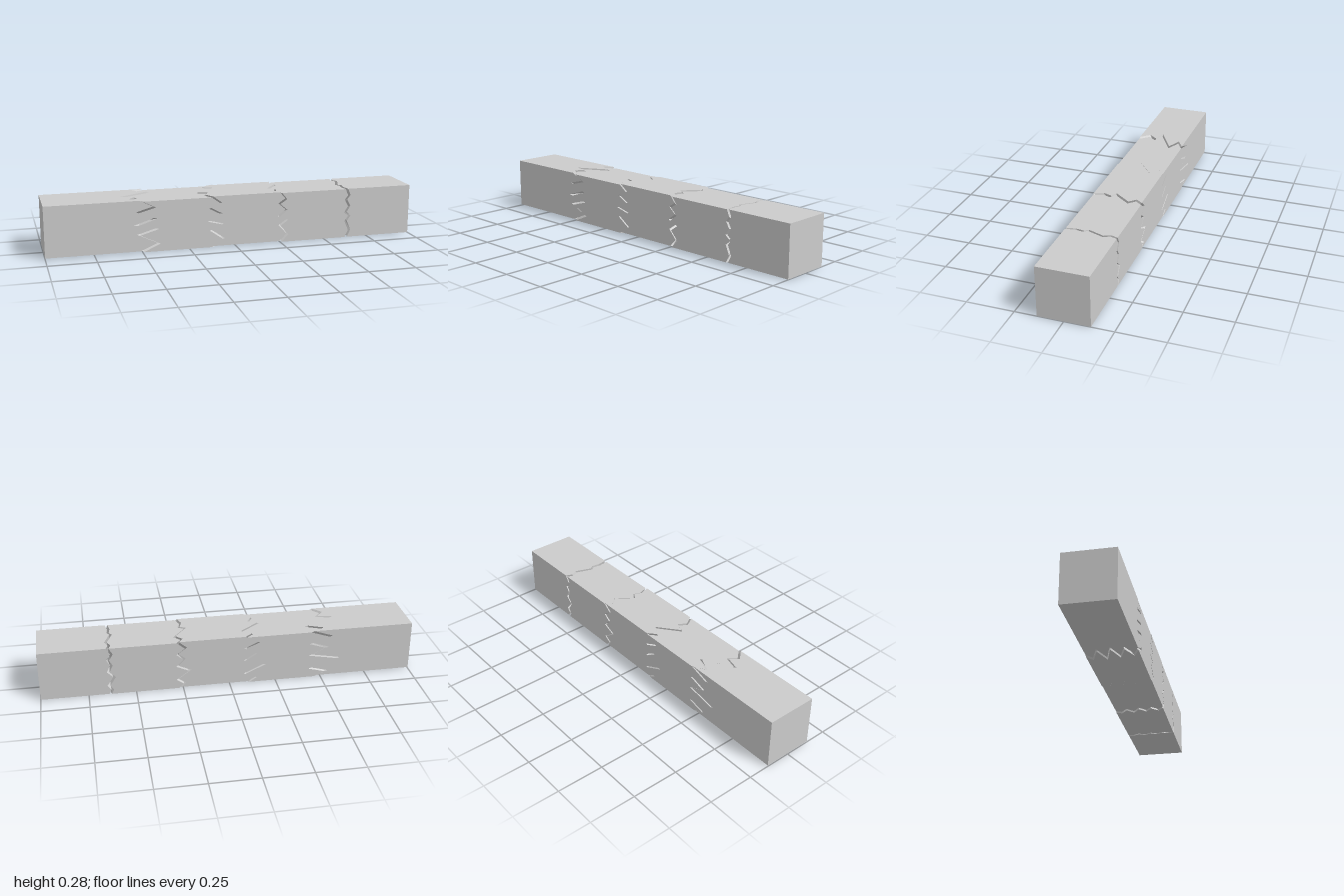
import * as THREE from 'three';

const S = 0.27, h = S / 2;

// Perimeter of the square section as [y, z, crack offset in x]
const ring = [
  // top, back to front
  ...[[-h, 0.043], [-0.1, -0.017], [-0.065, 0.063], [0.022, -0.097], [0.042, -0.02], [0.085, -0.055]]
    .map(([z, d]) => [S, z, d]),
  // front, downwards
  ...[[S, -0.01], [0.235, 0.06], [0.21, -0.031], [0.175, 0.065], [0.14, -0.042], [0.12, 0.076], [0.09, -0.026], [0.04, 0.081]]
    .map(([y, d]) => [y, h, d]),
  // underside, front to back
  ...[[h, -0.01], [0.105, 0.05], [0.07, -0.03], [0.035, 0.06], [0, -0.04], [-0.035, 0.07], [-0.07, -0.03], [-0.105, 0.06]]
    .map(([z, d]) => [0, z, d]),
  // back, upwards
  ...[[0, 0.02], [0.025, -0.04], [0.05, 0.053], [0.1, -0.107], [0.13, 0.053], [0.17, -0.04], [0.2, 0.05], [0.235, -0.06]]
    .map(([y, d]) => [y, -h, d]),
];

// Block between two jagged ends, each given as { x, amp }
function blockGeometry(a, b) {
  const pos = [], index = [], n = ring.length;
  for (const end of [a, b]) {
    for (const [y, z, d] of ring) pos.push(end.x + d * end.amp, y, z);
    pos.push(end.x, h, 0);
  }
  const m = n + 1;
  for (let i = 0; i < n; i++) {
    const j = (i + 1) % n;
    index.push(i, j, m + j, i, m + j, m + i); // side
    index.push(n, j, i, m + n, m + i, m + j); // broken ends
  }
  const g = new THREE.BufferGeometry();
  g.setAttribute('position', new THREE.Float32BufferAttribute(pos, 3));
  g.setIndex(index);
  const flat = g.toNonIndexed();
  flat.computeVertexNormals();
  return flat;
}

export function createModel() {
  const group = new THREE.Group();
  group.name = 'crackedBeam';
  const material = new THREE.MeshStandardMaterial({ color: 0xcccccc, flatShading: true });

  // Cracks grow milder towards +x
  const cuts = [
    { x: -1, amp: 0, gap: 0 },
    { x: -0.493, amp: 1, gap: 0.008 },
    { x: -0.118, amp: 0.68, gap: 0.004 },
    { x: 0.257, amp: 0.42, gap: 0.006 },
    { x: 0.632, amp: 0.2, gap: 0.007 },
    { x: 1, amp: 0, gap: 0 },
  ];
  // Blocks sit at slightly different heights
  const lift = [0.006, 0, 0.005, 0, 0.001];

  lift.forEach((dy, i) => {
    const a = cuts[i], b = cuts[i + 1];
    const mesh = new THREE.Mesh(
      blockGeometry({ x: a.x + a.gap, amp: a.amp }, { x: b.x - b.gap, amp: b.amp }), material);
    mesh.position.y = dy;
    mesh.name = `beamSegment${i + 1}`;
    group.add(mesh);
  });
  return group;
}
